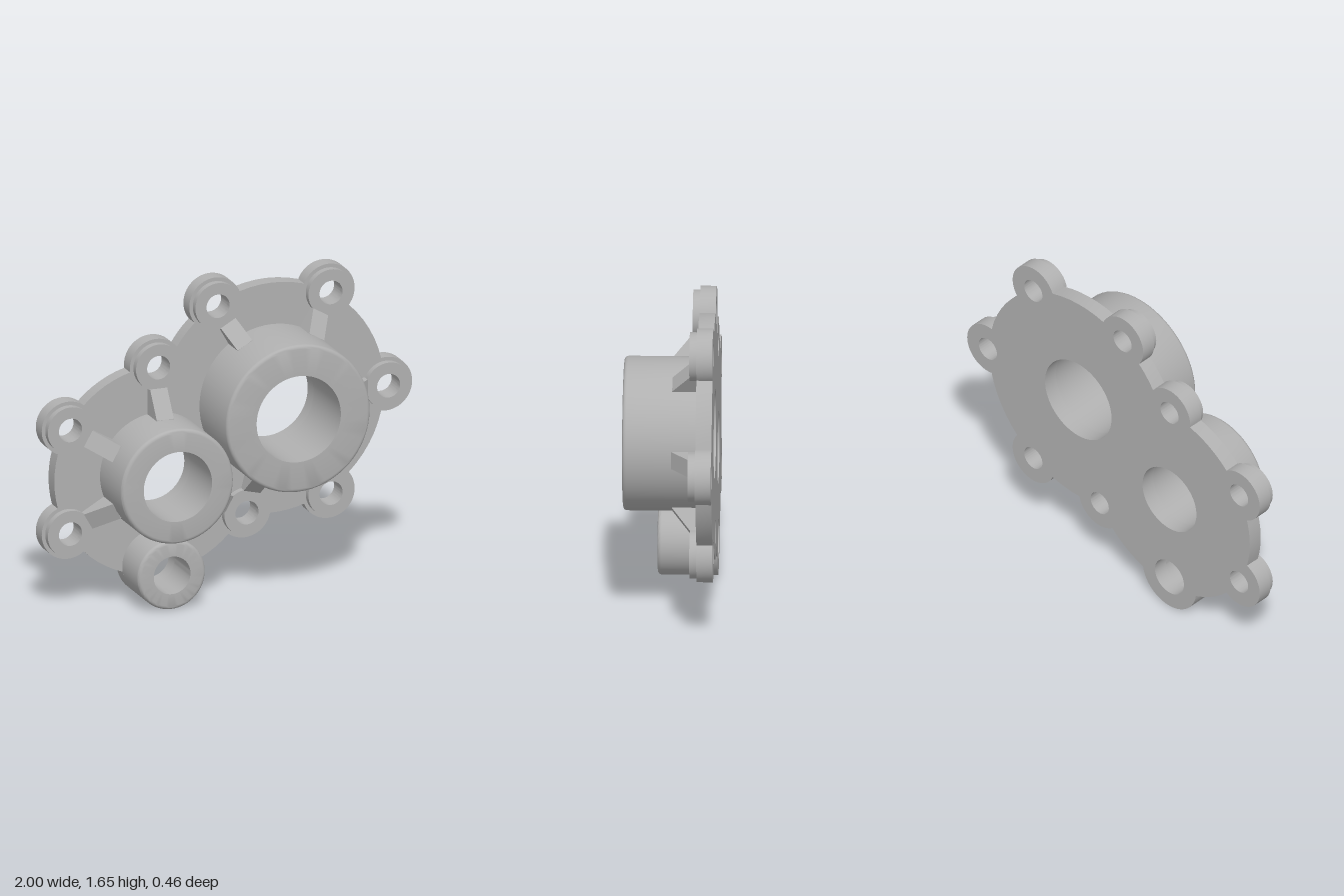
import * as THREE from 'three';
import { toCreasedNormals } from 'three/addons/utils/BufferGeometryUtils.js';

const BACK = -0.228, PLATE = -0.147, WASHER = -0.111, RIB_TOP = -0.02;
const LUG_R = 0.141, WASHER_R = 0.122, BOLT_R = 0.062;

// bosses: centre, outer radius, bore radius, front z, radius of the plate disc around them
const bosses = [
  { name: 'largeBoss', x: 0.24, y: 0.98, r: 0.388, bore: 0.227, front: 0.228, disc: 0.607 },
  { name: 'mediumBoss', x: -0.382, y: 0.674, r: 0.302, bore: 0.184, front: 0.154, disc: 0.548 },
  { name: 'smallBoss', x: -0.382, y: 0.183, r: 0.182, bore: 0.099, front: 0.074, disc: 0.182 },
];
// bolt lugs: centre and the bosses they are ribbed to
const lugs = [
  { x: 0.857, y: 0.98, to: [0] },
  { x: 0.547, y: 1.509, to: [0] },
  { x: -0.062, y: 1.509, to: [0] },
  { x: 0.547, y: 0.45, to: [0] },
  { x: 0.094, y: 0.401, to: [0, 1] },
  { x: -0.382, y: 1.223, to: [1] },
  { x: -0.857, y: 0.948, to: [1] },
  { x: -0.857, y: 0.401, to: [1] },
];

// Walks counter-clockwise round the union of discs, starting at angle 0 of the first one
function unionOutline(discs) {
  const pts = [], TAU = Math.PI * 2;
  let cur = discs[0], angle = 0;
  for (let step = 0; step < 60; step++) {
    const back = step > 0 && cur === discs[0];
    let sweep = back ? TAU - angle : TAU, next = null;
    if (!back) {
      for (const o of discs) {
        if (o === cur) continue;
        const dx = o.x - cur.x, dy = o.y - cur.y, d = Math.hypot(dx, dy);
        const k = (d * d + cur.r * cur.r - o.r * o.r) / (2 * d * cur.r);
        if (Math.abs(k) >= 1) continue;
        const enter = Math.atan2(dy, dx) - Math.acos(k);
        const delta = (((enter - angle) % TAU) + TAU) % TAU;
        if (delta > 1e-5 && delta < sweep) { sweep = delta; next = o; }
      }
    }
    const n = Math.max(2, Math.ceil(sweep / 0.1));
    for (let i = 0; i < n; i++) {
      const a = angle + (sweep * i) / n;
      pts.push(new THREE.Vector2(cur.x + cur.r * Math.cos(a), cur.y + cur.r * Math.sin(a)));
    }
    if (!next) break;
    const a = angle + sweep;
    const px = cur.x + cur.r * Math.cos(a), py = cur.y + cur.r * Math.sin(a);
    cur = next;
    angle = (Math.atan2(py - cur.y, px - cur.x) + TAU) % TAU;
  }
  return pts;
}

// Hollow cylinder along z with a rounded front rim
function ring(r, bore, z0, z1, round) {
  const p = [new THREE.Vector2(r, z0)];
  for (let i = 0; i <= 4; i++) {
    const a = (i / 4) * Math.PI / 2;
    if (round) p.push(new THREE.Vector2(r - round + round * Math.cos(a), z1 - round + round * Math.sin(a)));
  }
  if (!round) p.push(new THREE.Vector2(r, z1));
  p.push(new THREE.Vector2(bore, z1), new THREE.Vector2(bore, z0));
  return toCreasedNormals(new THREE.LatheGeometry(p, 64).rotateX(Math.PI / 2), 0.6);
}

export function createModel() {
  const group = new THREE.Group();
  const metal = new THREE.MeshStandardMaterial({ color: 0xb0b0b0 });
  metal.name = 'grey metal';
  const add = (name, geometry, x = 0, y = 0, z = 0) => {
    const mesh = new THREE.Mesh(geometry, metal);
    mesh.name = name;
    mesh.position.set(x, y, z);
    group.add(mesh);
    return mesh;
  };

  // base plate with lugs and all bores
  const discs = [
    ...lugs.map((l) => ({ x: l.x, y: l.y, r: LUG_R })),
    ...bosses.map((b) => ({ x: b.x, y: b.y, r: b.disc })),
  ];
  const shape = new THREE.Shape(unionOutline(discs));
  const holes = [
    ...lugs.map((l) => ({ x: l.x, y: l.y, r: BOLT_R })),
    ...bosses.map((b) => ({ x: b.x, y: b.y, r: b.bore })),
  ];
  for (const h of holes) {
    shape.holes.push(new THREE.Path().absarc(h.x, h.y, h.r, 0, Math.PI * 2, true));
  }
  const plate = new THREE.ExtrudeGeometry(shape, { depth: PLATE - BACK, bevelEnabled: false, curveSegments: 32 });
  add('basePlate', toCreasedNormals(plate, 0.5), 0, 0, BACK);

  // tubular bosses
  for (const b of bosses) add(b.name, ring(b.r, b.bore, PLATE, b.front, 0.02), b.x, b.y);

  lugs.forEach((l) => {
    // raised pad round each bolt hole
    add('boltPad', ring(WASHER_R, BOLT_R, PLATE, WASHER, 0), l.x, l.y);

    // sloping ribs from the pad up to the boss wall
    for (const i of l.to) {
      const b = bosses[i], width = 0.092;
      const dist = Math.hypot(b.x - l.x, b.y - l.y);
      const start = WASHER_R - 0.012, wall = dist - b.r;
      const side = new THREE.Shape([
        new THREE.Vector2(start, PLATE - 0.01),
        new THREE.Vector2(wall + 0.03, PLATE - 0.01),
        new THREE.Vector2(wall + 0.03, RIB_TOP),
        new THREE.Vector2(wall, RIB_TOP),
        new THREE.Vector2(start, WASHER),
      ]);
      const geo = new THREE.ExtrudeGeometry(side, { depth: width, bevelEnabled: false });
      geo.translate(0, 0, -width / 2).rotateX(Math.PI / 2);
      add('rib', geo, l.x, l.y).rotation.z = Math.atan2(b.y - l.y, b.x - l.x);
    }
  });
  return group;
}
